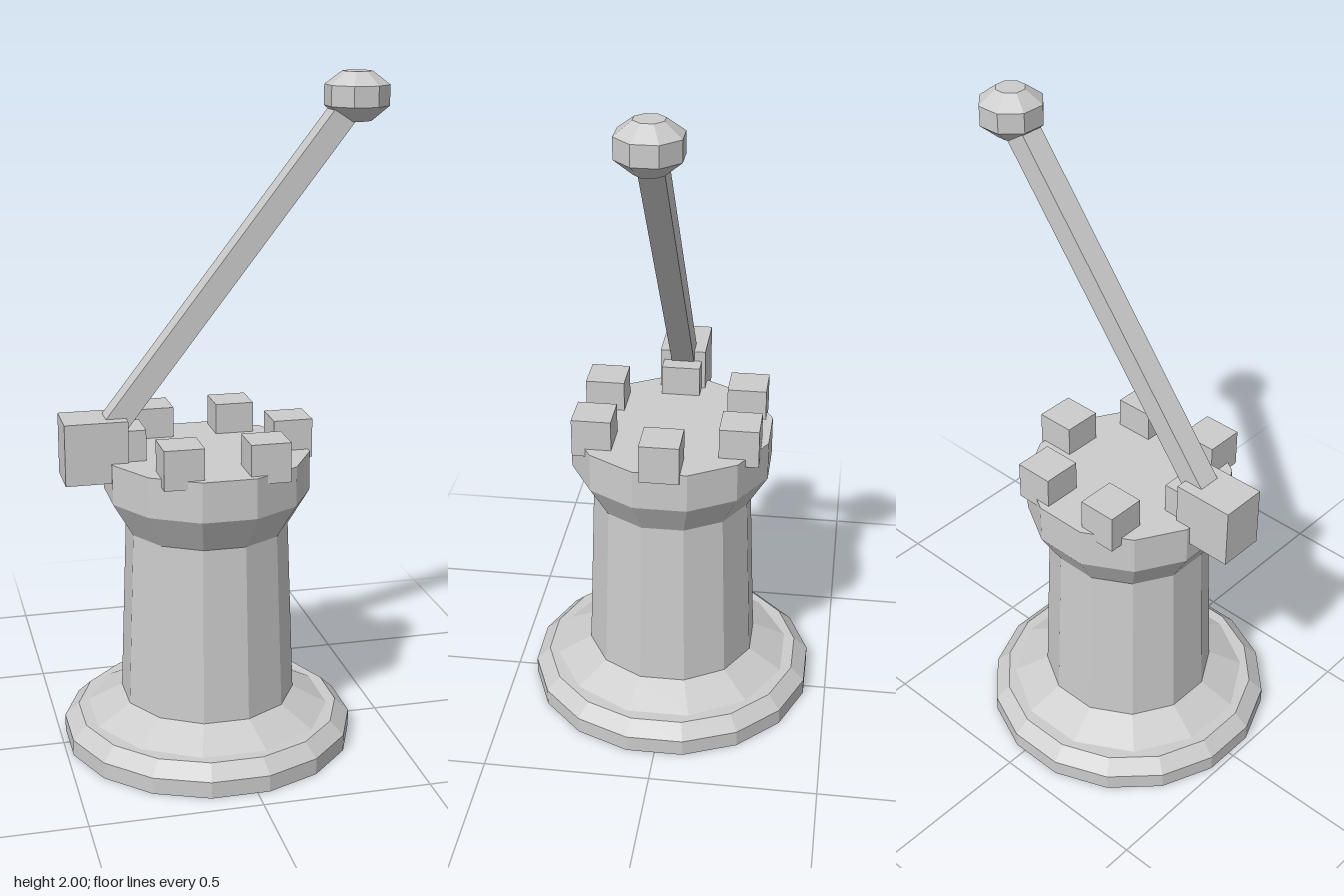
import * as THREE from 'three';

const stone = new THREE.MeshStandardMaterial({ color: 0xcccccc, flatShading: true });
stone.name = 'stone grey';

// Faceted turned solid, flats facing the axes; the profile lists [flat-to-centre distance, y] upwards
function turned(name, sides, profile, x) {
  const k = 1 / Math.cos(Math.PI / sides);
  const points = profile.map(([r, y]) => new THREE.Vector2(r * k, y));
  const mesh = new THREE.Mesh(new THREE.LatheGeometry(points, sides, Math.PI / sides), stone);
  mesh.name = name;
  mesh.position.x = x;
  return mesh;
}

function box(name, w, h, d, x, y, z) {
  const mesh = new THREE.Mesh(new THREE.BoxGeometry(w, h, d), stone);
  mesh.name = name;
  mesh.position.set(x, y, z);
  return mesh;
}

export function createModel() {
  const group = new THREE.Group();
  group.name = 'towerWithLever';
  const cx = -0.05;

  // Round plinth with a bevelled rim
  group.add(turned('plinth', 16, [[0, 0], [0.432, 0], [0.432, 0.05], [0.39, 0.09], [0, 0.09]], cx));

  // Skirt, tapered shaft and flared platform
  group.add(turned('tower', 12, [
    [0.36, 0.088], [0.255, 0.145], [0.235, 0.68], [0.296, 0.785], [0.296, 0.905], [0, 0.905],
  ], cx));

  // Six battlements in a ring, all square to the axes
  for (let i = 0; i < 6; i++) {
    const a = (i * Math.PI) / 3;
    group.add(box('battlement', 0.117, 0.117, 0.117,
      cx + 0.25 * Math.cos(a), 0.939, 0.25 * Math.sin(a)));
  }

  // Pivot block on the side of the platform
  group.add(box('pivotBlock', 0.185, 0.183, 0.14, -0.388, 0.938, 0));

  // Leaning lever arm from the block to the knob
  const start = new THREE.Vector2(-0.372, 0.95);
  const end = new THREE.Vector2(0.393, 1.935);
  const mid = start.clone().add(end).multiplyScalar(0.5);
  const arm = box('leverArm', 0.07, start.distanceTo(end), 0.07, mid.x, mid.y, 0);
  arm.rotation.z = -Math.atan2(end.x - start.x, end.y - start.y);
  group.add(arm);

  // Faceted knob
  group.add(turned('leverKnob', 8, [
    [0, 1.86], [0.04, 1.86], [0.087, 1.903], [0.087, 1.962], [0.04, 2], [0, 2],
  ], 0.393));

  return group;
}
